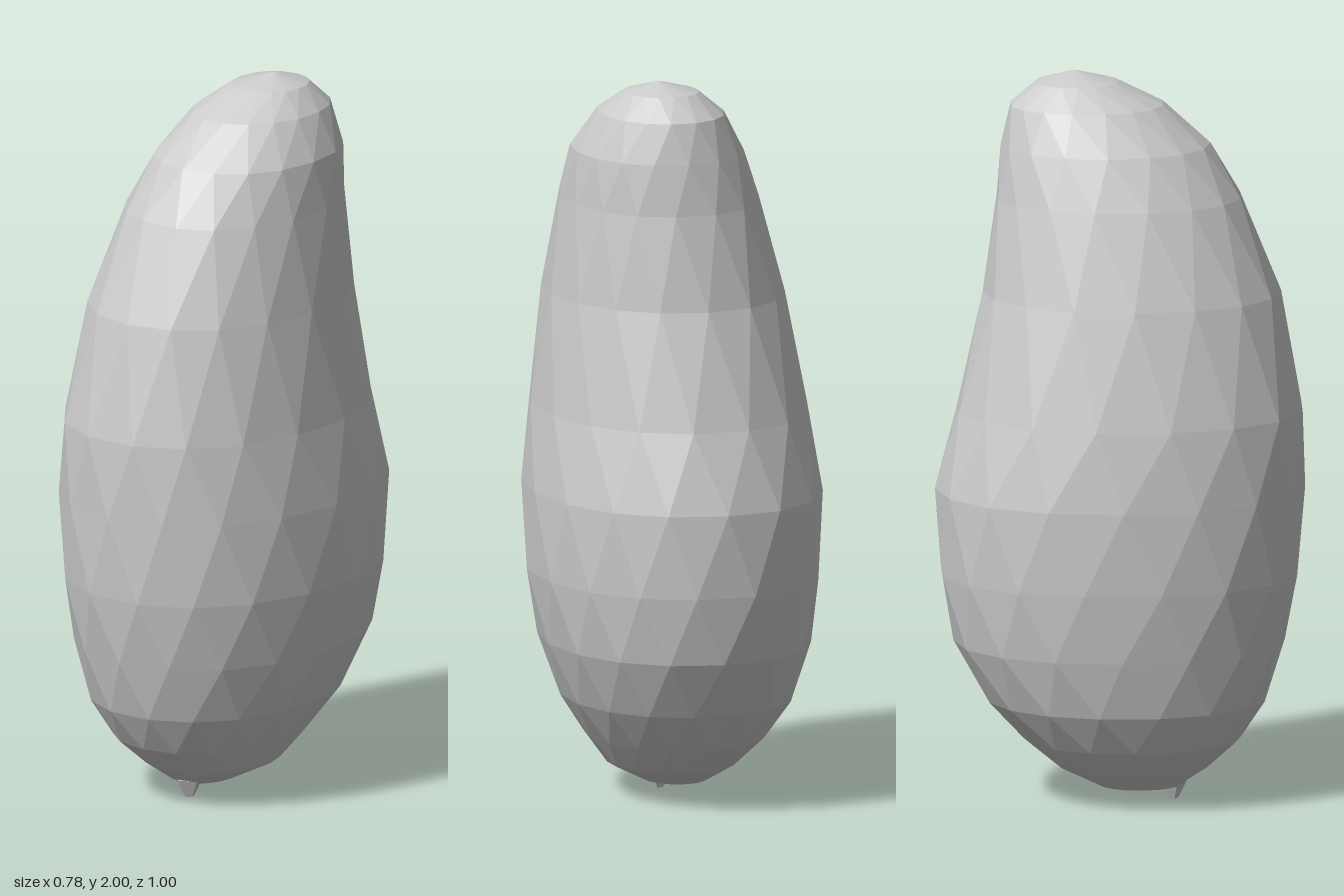
import * as THREE from 'three';

const SIDES = 16;

// Cross-sections from bottom to top: y, right x, left x, back z, front z
const SECTIONS = [
  [0.04, -0.11, 0.06, -0.05, 0.16],
  [0.09, -0.18, 0.16, -0.16, 0.24],
  [0.17, -0.26, 0.22, -0.26, 0.33],
  [0.28, -0.325, 0.29, -0.36, 0.40],
  [0.44, -0.365, 0.35, -0.45, 0.45],
  [0.63, -0.39, 0.385, -0.49, 0.49],
  [0.86, -0.395, 0.39, -0.50, 0.505],
  [1.08, -0.37, 0.365, -0.445, 0.505],
  [1.40, -0.305, 0.33, -0.37, 0.44],
  [1.66, -0.23, 0.30, -0.335, 0.335],
  [1.80, -0.175, 0.28, -0.32, 0.25],
  [1.91, -0.11, 0.225, -0.295, 0.125],
  [1.97, -0.035, 0.165, -0.225, 0.0],
];

// Slightly squared oval through the four extremes of a section
function ringPoint([y, x0, x1, z0, z1], a) {
  const round = (v) => Math.sign(v) * Math.abs(v) ** 0.94;
  return [
    (x0 + x1) / 2 + ((x1 - x0) / 2) * round(Math.cos(a)),
    y,
    (z0 + z1) / 2 + ((z1 - z0) / 2) * round(Math.sin(a)),
  ];
}

function bodyGeometry() {
  const points = [];
  const index = [];
  SECTIONS.forEach((section, r) => {
    // Alternate rings are turned half a step for faceted triangles
    for (let i = 0; i < SIDES; i++) {
      points.push(...ringPoint(section, ((i + (r % 2) / 2) / SIDES) * Math.PI * 2));
    }
  });
  const at = (r, i) => r * SIDES + (i % SIDES);
  const last = SECTIONS.length - 1;
  const bottom = points.length / 3;
  points.push(-0.01, 0.025, 0.05, 0.075, 2, -0.12);

  for (let i = 0; i < SIDES; i++) {
    for (let r = 0; r < last; r++) {
      const a = at(r, i), b = at(r, i + 1), c = at(r + 1, i), d = at(r + 1, i + 1);
      if (r % 2 === 0) index.push(a, c, b, b, c, d);
      else index.push(a, d, b, a, c, d);
    }
    index.push(bottom, at(0, i), at(0, i + 1));
    index.push(bottom + 1, at(last, i + 1), at(last, i));
  }

  const geometry = new THREE.BufferGeometry();
  geometry.setAttribute('position', new THREE.Float32BufferAttribute(points, 3));
  geometry.setIndex(index);
  geometry.computeVertexNormals();
  return geometry;
}

export function createModel() {
  const group = new THREE.Group();
  group.name = 'fruit';
  const material = new THREE.MeshStandardMaterial({ color: 0xcccccc, flatShading: true });

  // Faceted, leaning pear-like body
  const body = new THREE.Mesh(bodyGeometry(), material);
  body.name = 'body';
  group.add(body);

  // Small tip under the rounded end
  const tip = new THREE.Mesh(new THREE.CylinderGeometry(0.04, 0.015, 0.05, 5), material);
  tip.name = 'tip';
  tip.position.set(-0.01, 0.025, 0.145);
  group.add(tip);

  return group;
}
